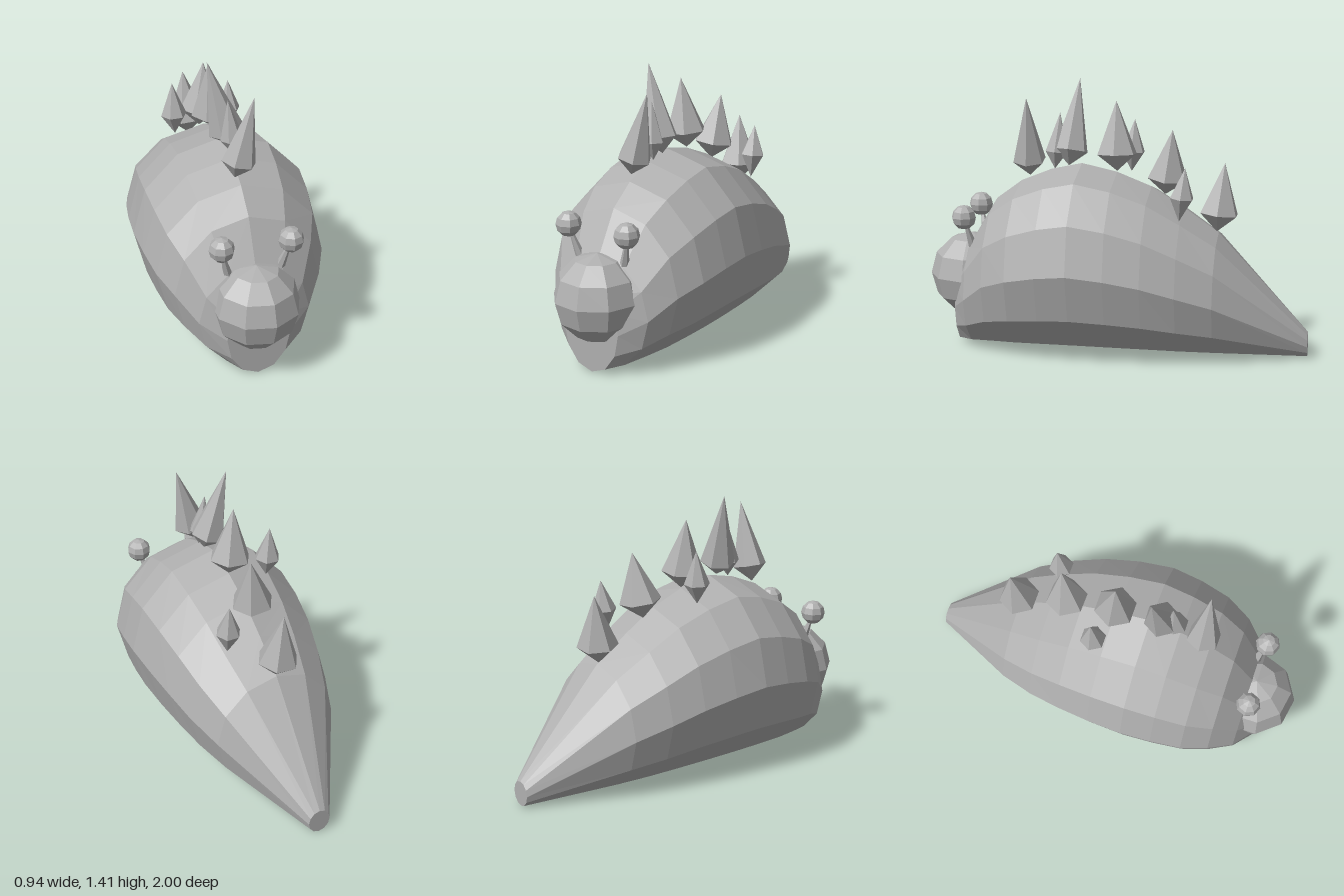
import * as THREE from 'three';

const skin = new THREE.MeshStandardMaterial({ color: 0xb0b0b0 });
skin.name = 'grey skin';
skin.flatShading = true;

const V = (x, y, z) => new THREE.Vector3(x, y, z);

function addMesh(parent, name, geometry) {
  const mesh = new THREE.Mesh(geometry, skin);
  mesh.name = name;
  parent.add(mesh);
  return mesh;
}

// Body: twelve-sided oval rings, all resting on the ground. [z, half width, height]
function bodyGeometry() {
  const rings = [
    [0.84, 0.16, 0.44], [0.76, 0.28, 0.58], [0.64, 0.37, 0.78], [0.505, 0.43, 0.88],
    [0.345, 0.457, 0.945], [0.185, 0.47, 0.98], [0, 0.457, 0.94], [-0.18, 0.43, 0.87],
    [-0.35, 0.39, 0.765], [-0.53, 0.325, 0.64], [-1, 0.058, 0.13],
  ];
  const sides = 12;
  const pos = [];
  const index = [];
  for (const [z, w, h] of rings) {
    for (let j = 0; j < sides; j++) {
      const a = (j / sides) * Math.PI * 2;
      pos.push(w * Math.sin(a), (h / 2) * (1 - Math.cos(a)), z);
    }
  }
  const last = rings.length - 1;
  const front = rings.length * sides;
  pos.push(0, rings[0][2] / 2, rings[0][0], 0, rings[last][2] / 2, rings[last][0]);
  for (let j = 0; j < sides; j++) {
    const k = (j + 1) % sides;
    for (let i = 0; i < last; i++) {
      const p = i * sides;
      const q = p + sides;
      index.push(p + j, q + j, p + k, q + j, q + k, p + k);
    }
    index.push(front, j, k, front + 1, last * sides + k, last * sides + j);
  }
  const g = new THREE.BufferGeometry();
  g.setAttribute('position', new THREE.Float32BufferAttribute(pos, 3));
  g.setIndex(index);
  const flat = g.toNonIndexed();
  flat.computeVertexNormals();
  return flat;
}

// Places an upright geometry of matching length between two points
function alignBetween(mesh, from, to) {
  mesh.position.copy(from).lerp(to, 0.5);
  mesh.quaternion.setFromUnitVectors(V(0, 1, 0), to.clone().sub(from).normalize());
}

// Spike: a six-sided crystal with a short lower and a long upper cone
function addSpike(parent, name, base, tip, radius, waist) {
  const length = base.distanceTo(tip);
  const profile = [
    new THREE.Vector2(0, -length / 2),
    new THREE.Vector2(radius, length * (waist - 0.5)),
    new THREE.Vector2(0, length / 2),
  ];
  const g = new THREE.LatheGeometry(profile, 6, Math.PI / 6);
  alignBetween(addMesh(parent, name, g), base, tip);
}

export function createModel() {
  const model = new THREE.Group();
  model.name = 'spikySlug';

  addMesh(model, 'body', bodyGeometry());

  // Head: nine-sided ball
  const head = addMesh(model, 'head', new THREE.SphereGeometry(0.222, 9, 6));
  head.rotation.y = Math.PI;
  head.position.set(0, 0.37, 0.78);

  // Eyes on tapered stalks
  for (const [side, s] of [['left', 1], ['right', -1]]) {
    const eye = addMesh(model, side + 'Eye', new THREE.SphereGeometry(0.064, 8, 6));
    eye.position.set(s * 0.172, 0.708, 0.775);
    const from = V(s * 0.115, 0.48, 0.725);
    const to = V(s * 0.168, 0.68, 0.77);
    const stalk = addMesh(model, side + 'EyeStalk',
      new THREE.CylinderGeometry(0.008, 0.032, from.distanceTo(to), 6));
    alignBetween(stalk, from, to);
  }

  // Back spikes from front to tail: base, tip, radius, height of the widest point
  const spikes = new THREE.Group();
  spikes.name = 'backSpikes';
  model.add(spikes);
  [
    [V(-0.02, 0.905, 0.465), V(0.075, 1.32, 0.46), 0.088, 0.2],
    [V(0.015, 0.95, 0.325), V(-0.01, 1.24, 0.3), 0.06, 0.3],
    [V(0.02, 0.97, 0.25), V(-0.09, 1.41, 0.21), 0.092, 0.17],
    [V(0, 0.945, 0), V(-0.03, 1.305, 0.01), 0.108, 0.24],
    [V(-0.19, 0.91, -0.045), V(-0.2, 1.185, -0.06), 0.066, 0.38],
    [V(-0.01, 0.83, -0.25), V(0.025, 1.17, -0.29), 0.108, 0.26],
    [V(0.18, 0.73, -0.345), V(0.183, 1.005, -0.375), 0.064, 0.44],
    [V(0, 0.645, -0.52), V(-0.02, 1.0, -0.555), 0.106, 0.26],
  ].forEach(([base, tip, radius, waist], i) => addSpike(spikes, 'spike' + (i + 1), base, tip, radius, waist));

  return model;
}
